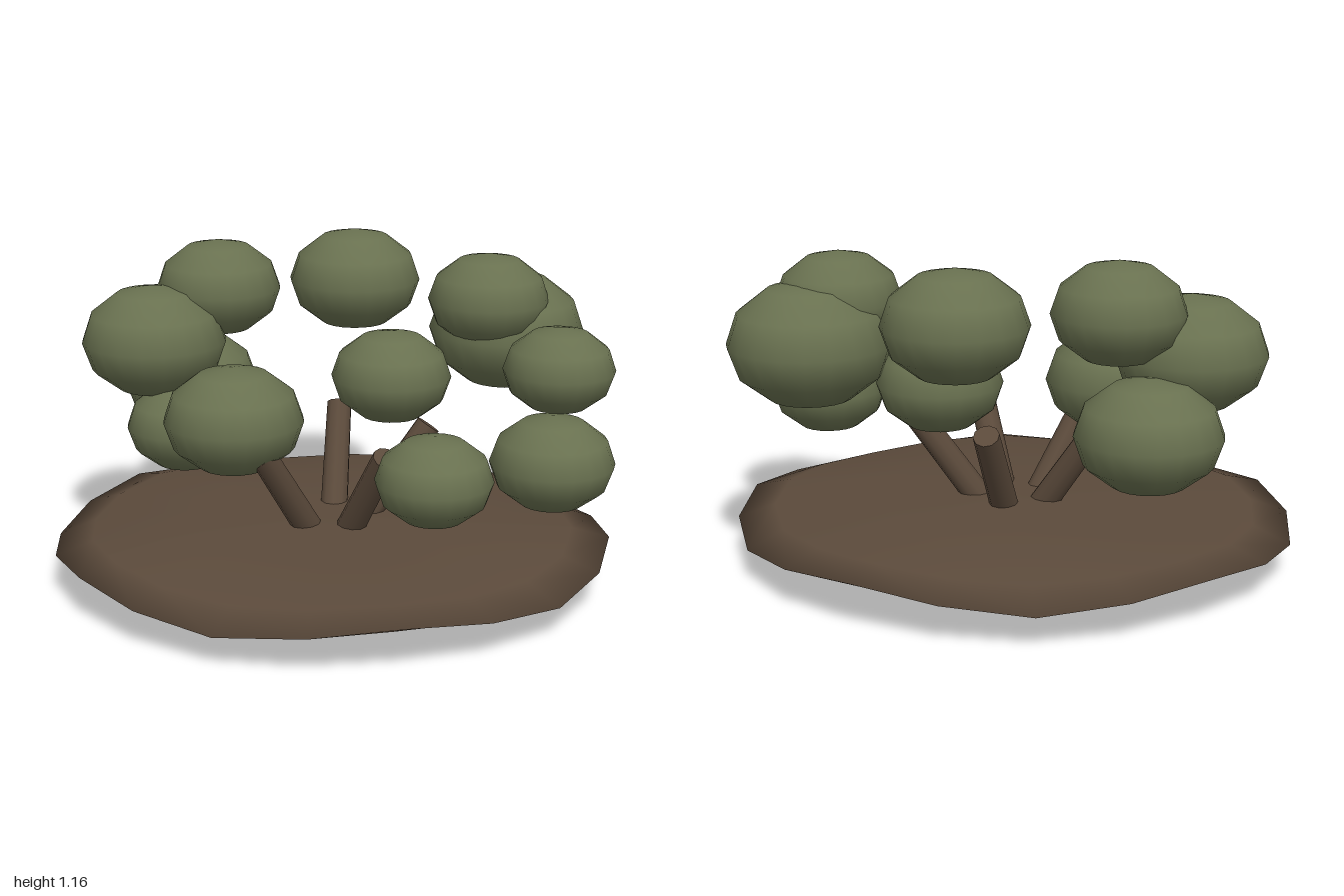
import * as THREE from 'three';
import { mergeVertices } from 'three/addons/utils/BufferGeometryUtils.js';

const leaf = new THREE.MeshStandardMaterial({ name: 'leafGreen', color: 0x697150 });
const bark = new THREE.MeshStandardMaterial({ name: 'barkBrown', color: 0x5b4a3b });

// Flattened earth mound with a gently waving rim
function createMound() {
  let geo = new THREE.SphereGeometry(1, 20, 6);
  geo.deleteAttribute('uv');
  geo.deleteAttribute('normal');
  geo = mergeVertices(geo, 1e-4);
  const p = geo.attributes.position;
  for (let i = 0; i < p.count; i++) {
    const x = p.getX(i), y = p.getY(i), z = p.getZ(i);
    const r = Math.hypot(x, z);
    const wave = 0.026 * Math.cos(5 * Math.atan2(z, x)) * r ** 6;
    p.setXYZ(i, x, 0.14 + 0.092 * y + wave, z * 0.928);
  }
  geo.computeVertexNormals();
  const mound = new THREE.Mesh(geo, bark);
  mound.name = 'mound';
  return mound;
}

// Five stems fanning out from one root point
function createStems() {
  const stems = new THREE.Group();
  stems.name = 'stems';
  const length = 0.62, tilt = 0.62;
  const geo = new THREE.CylinderGeometry(0.046, 0.053, length, 10);
  geo.translate(0, length / 2, 0);
  for (let i = 0; i < 5; i++) {
    const a = THREE.MathUtils.degToRad(54 + 72 * i);
    const dir = new THREE.Vector3(Math.cos(a) * Math.sin(tilt), Math.cos(tilt), Math.sin(a) * Math.sin(tilt));
    const stem = new THREE.Mesh(geo, bark);
    stem.name = 'stem';
    stem.position.y = 0.031;
    stem.quaternion.setFromUnitVectors(new THREE.Vector3(0, 1, 0), dir);
    stems.add(stem);
  }
  return stems;
}

// Leaf clumps: x, y, z, radius
const clumps = [
  [0.04, 0.966, -0.58, 0.246],
  [-0.57, 0.6, -0.42, 0.25],
  [-0.658, 0.82, -0.15, 0.262],
  [-0.444, 0.982, -0.325, 0.228],
  [-0.325, 0.625, 0.177, 0.246],
  [-0.54, 0.52, -0.09, 0.212],
  [0.2, 0.68, -0.24, 0.22],
  [0.615, 0.83, -0.395, 0.284],
  [0.548, 0.965, -0.28, 0.219],
  [0.798, 0.792, 0.03, 0.197],
  [0.778, 0.51, 0.205, 0.216],
  [0.382, 0.517, 0.453, 0.2],
];

function createFoliage() {
  const foliage = new THREE.Group();
  foliage.name = 'foliage';
  const geo = new THREE.SphereGeometry(1, 20, 6);
  for (const [x, y, z, r] of clumps) {
    const clump = new THREE.Mesh(geo, leaf);
    clump.name = 'leafClump';
    clump.position.set(x, y, z);
    clump.scale.set(r, r * 0.775, r);
    foliage.add(clump);
  }
  return foliage;
}

export function createModel() {
  const model = new THREE.Group();
  model.name = 'bushOnMound';
  model.add(createMound(), createStems(), createFoliage());
  return model;
}
